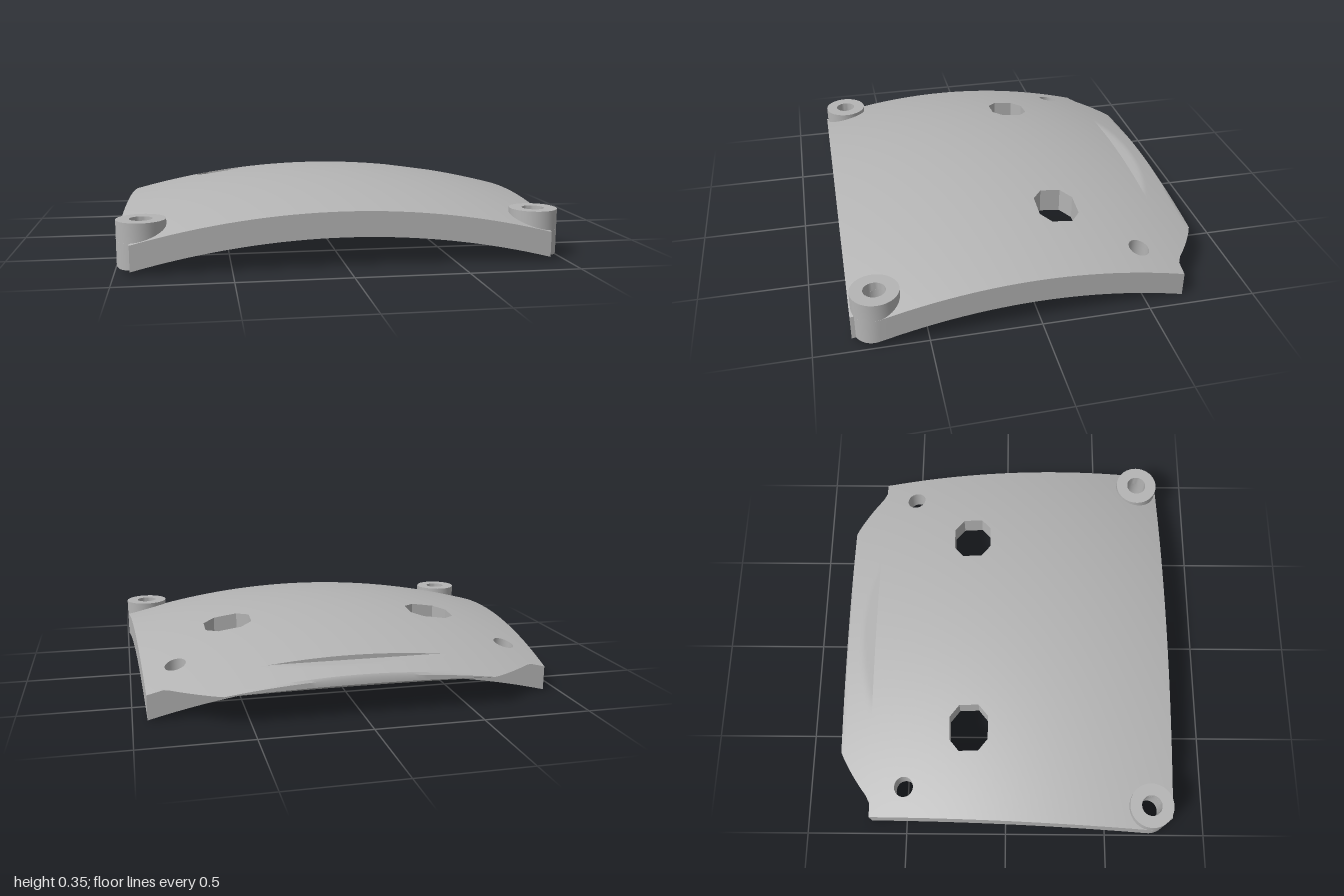
import * as THREE from 'three';
import { toCreasedNormals } from 'three/addons/utils/BufferGeometryUtils.js';

const THICK = 0.115, BACK = -0.68, FRONT = 0.83, MAX_EDGE = 0.08;
const BOSS = { x: 0.885, z: 0.715, r: 0.108, hole: 0.05 };

// Height of the doubly curved upper surface
const topY = (x, z) => 0.347 - x * x / 7.2 - (z - 0.1) ** 2 / 5.5;

const v2 = (x, z) => new THREE.Vector2(x, z);

function circle(cx, cz, r, n = 24) {
  return Array.from({ length: n }, (_, i) => {
    const a = i / n * Math.PI * 2;
    return v2(cx + r * Math.cos(a), cz + r * Math.sin(a));
  });
}

function octagon(cx, cz) {
  return [[0.112, 0.048], [0.056, 0.095], [-0.056, 0.095], [-0.112, 0.048],
    [-0.112, -0.048], [-0.056, -0.095], [0.056, -0.095], [0.112, -0.048]]
    .map(([x, z]) => v2(cx + x, cz + z));
}

function geometryFrom(positions, normals) {
  const g = new THREE.BufferGeometry();
  g.setAttribute('position', new THREE.Float32BufferAttribute(positions, 3));
  if (normals) g.setAttribute('normal', new THREE.Float32BufferAttribute(normals, 3));
  else g.computeVertexNormals();
  return g;
}

// Plate outline: tapered sides, corners rounded around the bosses
function plateOutline() {
  const half = [v2(0.935, BACK)];
  for (let i = 0; i <= 10; i++) {
    const a = -0.05 + i / 10 * 1.15;
    half.push(v2(BOSS.x + BOSS.r * Math.cos(a), BOSS.z + BOSS.r * Math.sin(a)));
  }
  half.push(v2(0.932, FRONT));
  return [...half, ...half.map(p => v2(-p.x, p.y)).reverse()];
}

// Split the longest edge until the flat triangle is fine enough to bend
function subdivide(a, b, c, out) {
  const ab = a.distanceTo(b), bc = b.distanceTo(c), ca = c.distanceTo(a);
  const longest = Math.max(ab, bc, ca);
  if (longest <= MAX_EDGE) { out.push([a, b, c]); return; }
  if (longest === bc) [a, b, c] = [b, c, a];
  else if (longest === ca) [a, b, c] = [c, a, b];
  const m = a.clone().add(b).multiplyScalar(0.5);
  subdivide(a, m, c, out);
  subdivide(m, b, c, out);
}

// Curved cap, upper (offset 0) or lower (offset THICK)
function capGeometry(triangles, offset, up) {
  const pos = [], nor = [], s = up ? 1 : -1;
  for (const [a, b, c] of triangles) {
    const cross = (b.x - a.x) * (c.y - a.y) - (b.y - a.y) * (c.x - a.x);
    for (const p of (cross < 0) === up ? [a, b, c] : [a, c, b]) {
      pos.push(p.x, topY(p.x, p.y) - offset, p.y);
      const n = new THREE.Vector3(p.x / 3.6, 1, (p.y - 0.1) / 2.75).normalize();
      nor.push(s * n.x, s * n.y, s * n.z);
    }
  }
  return geometryFrom(pos, nor);
}

// Vertical wall along a closed contour
function wallGeometry(contour) {
  const pos = [];
  const quad = (a, b) => {
    if (a.distanceTo(b) > MAX_EDGE) {
      const m = a.clone().add(b).multiplyScalar(0.5);
      quad(a, m);
      quad(m, b);
      return;
    }
    const ya = topY(a.x, a.y), yb = topY(b.x, b.y);
    pos.push(a.x, ya, a.y, b.x, yb, b.y, b.x, yb - THICK, b.y,
      a.x, ya, a.y, b.x, yb - THICK, b.y, a.x, ya - THICK, a.y);
  };
  contour.forEach((p, i) => quad(p, contour[(i + 1) % contour.length]));
  return toCreasedNormals(geometryFrom(pos), 0.5);
}

// Back lip: flat underside, curved top with a level middle, blunt rounded rim
function lipGeometry() {
  const floor = 0.135, zIn = BACK + 0.005, n = 48, rows = [];
  for (let i = 0; i <= n; i++) {
    const x = -0.868 + 1.736 * i / n;
    const zb = Math.min(BACK, Math.max(-0.835, 0.1 - Math.sqrt(5.5 * (0.212 - x * x / 7.2))));
    const y = z => Math.max(floor, Math.min(0.215, topY(x, z)));
    const row = [];
    for (let j = 0; j <= 10; j++) {
      const z = zIn + (zb + 0.008 - zIn) * j / 10;
      row.push([x, y(z), z]);
    }
    const rim = y(zb) - floor;
    row.push([x, floor + rim * 0.8, zb], [x, floor + rim * 0.25, zb],
      [x, floor, Math.min(zIn, zb + rim * 0.35)], [x, floor, zIn]);
    rows.push(row);
  }
  const pos = [];
  for (let i = 0; i < n; i++) {
    for (let j = 0; j < rows[0].length - 1; j++) {
      const a = rows[i][j], b = rows[i + 1][j], c = rows[i + 1][j + 1], d = rows[i][j + 1];
      pos.push(...a, ...b, ...d, ...b, ...c, ...d);
    }
  }
  return toCreasedNormals(geometryFrom(pos), 0.6);
}

// Ring-shaped boss, its foot sunk into the plate
function bossGeometry() {
  const bottom = 0.125, top = 0.222;
  const profile = [v2(BOSS.r, bottom), v2(BOSS.r, top), v2(BOSS.hole, top), v2(BOSS.hole, bottom)];
  return toCreasedNormals(new THREE.LatheGeometry(profile, 40).toNonIndexed(), 0.6);
}

export function createModel() {
  const model = new THREE.Group();
  model.name = 'curvedCoverPlate';
  const grey = new THREE.MeshStandardMaterial({ color: 0xb4b4b4 });
  grey.name = 'plain grey';
  const add = (name, geometry, parent = model) => {
    const mesh = new THREE.Mesh(geometry, grey);
    mesh.name = name;
    parent.add(mesh);
    return mesh;
  };

  // Plate with mounting holes and octagonal windows
  const outline = plateOutline(), holes = [];
  for (const s of [1, -1]) {
    holes.push(circle(s * 0.797, -0.505, 0.048), octagon(s * 0.52, -0.185),
      circle(s * BOSS.x, BOSS.z, BOSS.hole));
  }
  if (THREE.ShapeUtils.isClockWise(outline)) outline.reverse();
  holes.forEach(h => { if (!THREE.ShapeUtils.isClockWise(h)) h.reverse(); });
  const points = [outline, ...holes].flat(), triangles = [];
  for (const [a, b, c] of THREE.ShapeUtils.triangulateShape(outline, holes)) {
    subdivide(points[a], points[b], points[c], triangles);
  }
  const plate = new THREE.Group();
  plate.name = 'plate';
  model.add(plate);
  add('plateTop', capGeometry(triangles, 0, true), plate);
  add('plateUnderside', capGeometry(triangles, THICK, false), plate);
  add('plateEdge', wallGeometry(outline), plate);
  holes.forEach(h => add('holeWall', wallGeometry(h), plate));

  // Lip along the back edge
  add('backLip', lipGeometry());

  // Screw bosses on the front corners
  for (const [name, s] of [['leftBoss', 1], ['rightBoss', -1]]) {
    add(name, bossGeometry()).position.set(s * BOSS.x, 0, BOSS.z);
  }
  return model;
}
